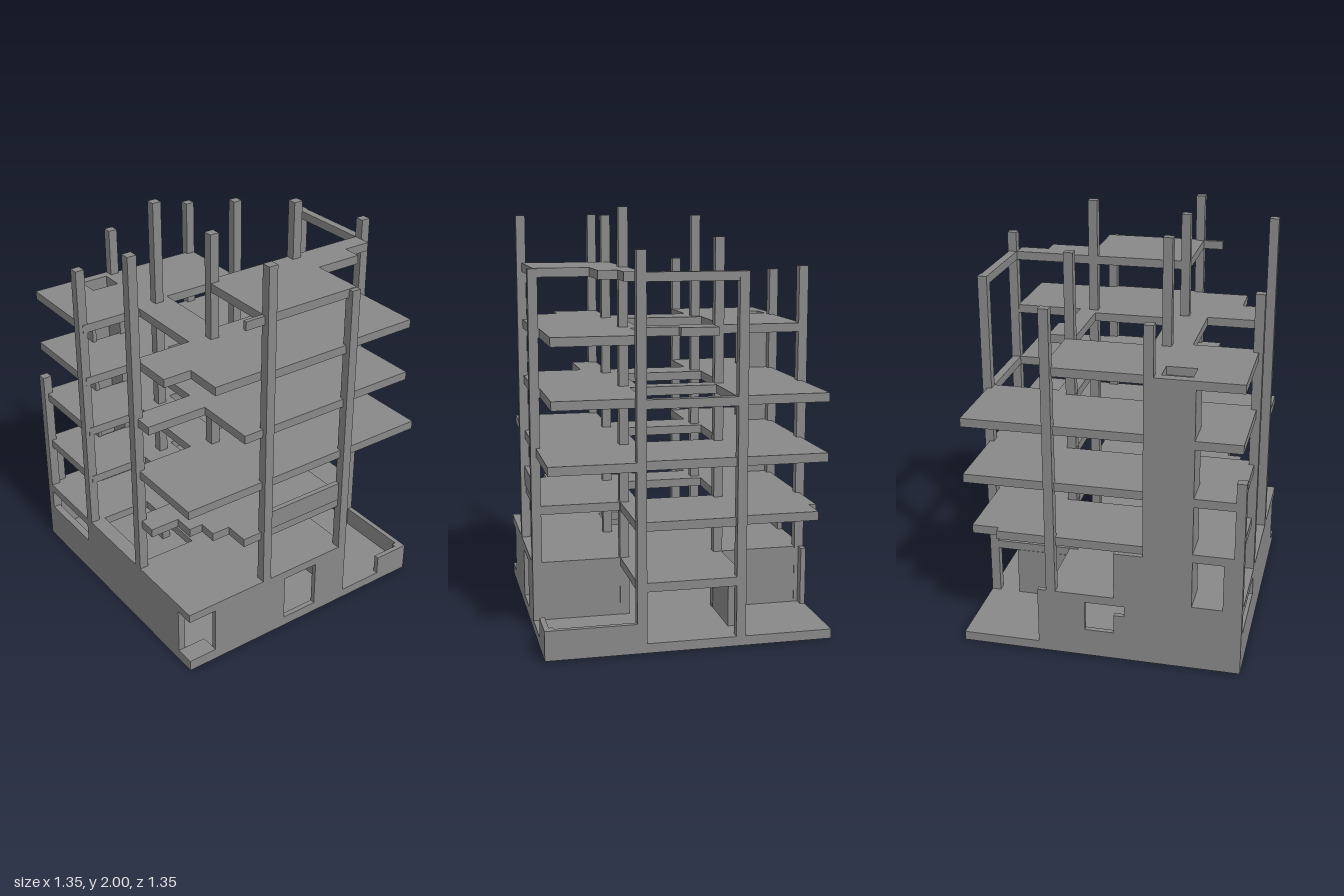
import * as THREE from 'three';

const material = new THREE.MeshStandardMaterial({ color: 0x888888, flatShading: true });

export function createModel() {
  const model = new THREE.Group();

  // Box given by its limits on each axis
  function block(parent, name, x0, x1, y0, y1, z0, z1) {
    const mesh = new THREE.Mesh(new THREE.BoxGeometry(x1 - x0, y1 - y0, z1 - z0), material);
    mesh.position.set((x0 + x1) / 2, (y0 + y1) / 2, (z0 + z1) / 2);
    mesh.name = name;
    parent.add(mesh);
  }
  function section(name) {
    const g = new THREE.Group();
    g.name = name;
    model.add(g);
    return g;
  }
  // Wall panel with rectangular openings: u runs along the wall, holes are [u0, u1, y0, y1]
  function wall(parent, name, axis, at, u0, u1, y0, y1, holes = [], t = 0.045) {
    const rect = (C, a, b, c, d) => new C([[a, c], [b, c], [b, d], [a, d]].map(p => new THREE.Vector2(...p)));
    const shape = rect(THREE.Shape, u0, u1, y0, y1);
    holes.forEach(h => shape.holes.push(rect(THREE.Path, ...h)));
    const geo = new THREE.ExtrudeGeometry(shape, { depth: t, bevelEnabled: false });
    geo.translate(0, 0, -t / 2);
    const mesh = new THREE.Mesh(geo, material);
    mesh.name = name;
    if (axis === 'z') { mesh.rotation.y = -Math.PI / 2; mesh.position.x = at; }
    else mesh.position.z = at;
    parent.add(mesh);
  }

  // Foundation
  block(model, 'baseSlab', -0.675, 0.675, 0, 0.045, -0.675, 0.675);

  // Basement walls
  const basement = section('basement');
  wall(basement, 'frontWall', 'x', 0.6575, -0.675, 0.58, 0.045, 0.33, [[-0.63, -0.26, 0.19, 0.289]], 0.035);
  wall(basement, 'rightWall', 'z', 0.6625, -0.255, 0.53, 0.045, 0.33, [[-0.07, 0.12, 0.05, 0.289]], 0.025);
  wall(basement, 'leftWall', 'z', -0.6625, -0.3, 0.675, 0.045, 0.33, [[-0.07, 0.12, 0.14, 0.289]], 0.025);
  block(basement, 'windowNotch', -0.675, -0.65, 0.14, 0.235, 0.07, 0.12);
  for (const [x0, x1] of [[0.21, 0.675], [-0.675, -0.21]])
    wall(basement, 'sideInnerWall', 'x', -0.2325, x0, x1, 0.045, 0.33);
  wall(basement, 'partition', 'z', -0.235, -0.53, -0.21, 0.045, 0.29);
  block(basement, 'lowBackWall', 0.25, 0.675, 0.045, 0.14, -0.675, -0.65);
  block(basement, 'lowSideWall', 0.65, 0.675, 0.045, 0.14, -0.65, -0.49);
  block(basement, 'cornerSill', 0.58, 0.675, 0.045, 0.055, 0.53, 0.675);

  // Floors: each row lists plates as x0, x1, z0, z1
  const L = -0.675, M = -0.65, R = 0.65, B = -0.65, F = 0.655;
  const stairStrips = [
    [-0.255, 0.25, 0.16, 0.345],
    [0.16, 0.25, -0.255, 0.25],
    [-0.21, 0.25, -0.305, -0.215],
  ];
  const west = [M, -0.255, -0.255, 0.21];
  // Front left-hand bay, leaving the shaft open
  const shaftBay = [
    [L, -0.21, 0.21, 0.28], [L, -0.21, 0.42, F],
    [L, -0.63, 0.28, 0.42], [-0.52, -0.21, 0.28, 0.42],
  ];
  const east = [0.21, R, -0.255, 0.25];
  const northEast = [0.21, 0.625, -0.63, -0.21];
  const northWest = [M, -0.21, B, -0.21];
  const floors = [
    { name: 'groundFloor', top: 0.33, plates: [
      [L, 0.675, -0.255, 0.345], [L, -0.21, 0.345, 0.675], [0.21, 0.675, 0.345, 0.675],
      [-0.21, 0.21, 0.6, 0.675], [-0.255, 0.25, -0.675, -0.255]] },
    { name: 'firstFloor', top: 0.605, plates: [
      west, east, ...shaftBay, ...stairStrips,
      [0.21, 0.34, 0.25, F], [0.34, 0.44, 0.25, 0.51], [0.44, 0.53, 0.25, 0.44], [0.53, R, 0.25, 0.35],
      [M, -0.21, -0.5, -0.21], [-0.615, -0.21, -0.63, -0.5], [-0.255, 0.25, B, -0.3]] },
    { name: 'secondFloor', top: 0.885, plates: [
      west, east, ...shaftBay, ...stairStrips, northWest,
      [0.21, R, -0.675, -0.21], [0.21, R, 0.21, F], [-0.255, 0.25, B, -0.3]] },
    { name: 'thirdFloor', top: 1.165, plates: [
      west, east, ...shaftBay, ...stairStrips, northWest, northEast,
      [0.21, 0.34, 0.25, F], [0.34, R, 0.25, 0.35]] },
    { name: 'fourthFloor', top: 1.445, plates: [
      west, east, ...shaftBay, ...stairStrips, northEast,
      [0.21, 0.44, 0.25, 0.63], [0.44, 0.625, 0.25, 0.49], [-0.21, -0.025, -0.35, -0.305]] },
    { name: 'topFloor', top: 1.723, plates: [
      [0.21, R, -0.255, 0.25], [0.21, 0.3, -0.63, -0.49], [0.21, 0.39, -0.49, -0.25],
      [0.63, R, 0.25, 0.35]] },
  ];
  for (const { name, top, plates } of floors) {
    const floor = section(name);
    for (const [x0, x1, z0, z1] of plates) block(floor, 'floorPlate', x0, x1, top - 0.042, top, z0, z1);
  }

  // Edge beams at the rear
  const beams = section('beams');
  for (const top of [1.165, 1.723]) block(beams, 'backBeam', -0.235, 0.23, top - 0.042, top, -0.67, -0.63);

  // Columns: tops by row (front to back) and column (x rising); 0 means missing
  const columns = section('columns');
  const grid = [-0.6525, -0.235, 0.23, 0.6525];
  const tops = [
    [0.98, 1.72, 1.955, 0],
    [1.68, 1.955, 1.955, 1.955],
    [1.72, 1.86, 2.0, 1.72],
    [0, 1.723, 1.82, 0.14],
  ];
  const rows = [0.6525, 0.23, -0.235, -0.6525];
  rows.forEach((z, r) => grid.forEach((x, c) => {
    if (tops[r][c]) block(columns, 'column', x - 0.0225, x + 0.0225, 0.04, tops[r][c], z - 0.0225, z + 0.0225);
  }));

  // Lift shaft with a doorway on each storey
  const shaft = section('liftShaft');
  const doors = [[0.335, 0.52], [0.6, 0.79], [0.88, 1.08], [1.165, 1.35]].map(d => [0.28, 0.42, ...d]);
  wall(shaft, 'doorWall', 'z', -0.5225, 0.25, 0.44, 0.33, 1.405, doors, 0.015);
  block(shaft, 'outerWall', -0.675, -0.63, 0.33, 1.405, 0.25, 0.44);
  block(shaft, 'backWall', -0.63, -0.53, 0.33, 1.405, 0.25, 0.28);
  block(shaft, 'frontWall', -0.63, -0.53, 0.33, 1.405, 0.42, 0.44);

  // Unfinished wall pieces
  const pieces = section('wallPieces');
  block(pieces, 'outerWallPiece', -0.675, -0.65, 0.33, 0.565, 0.07, 0.21);
  block(pieces, 'cornerWallPiece', -0.675, -0.65, 0.33, 0.565, 0.585, 0.63);
  block(pieces, 'parapet', 0.63, 0.655, 0.605, 0.7, -0.21, 0.21);

  return model;
}
